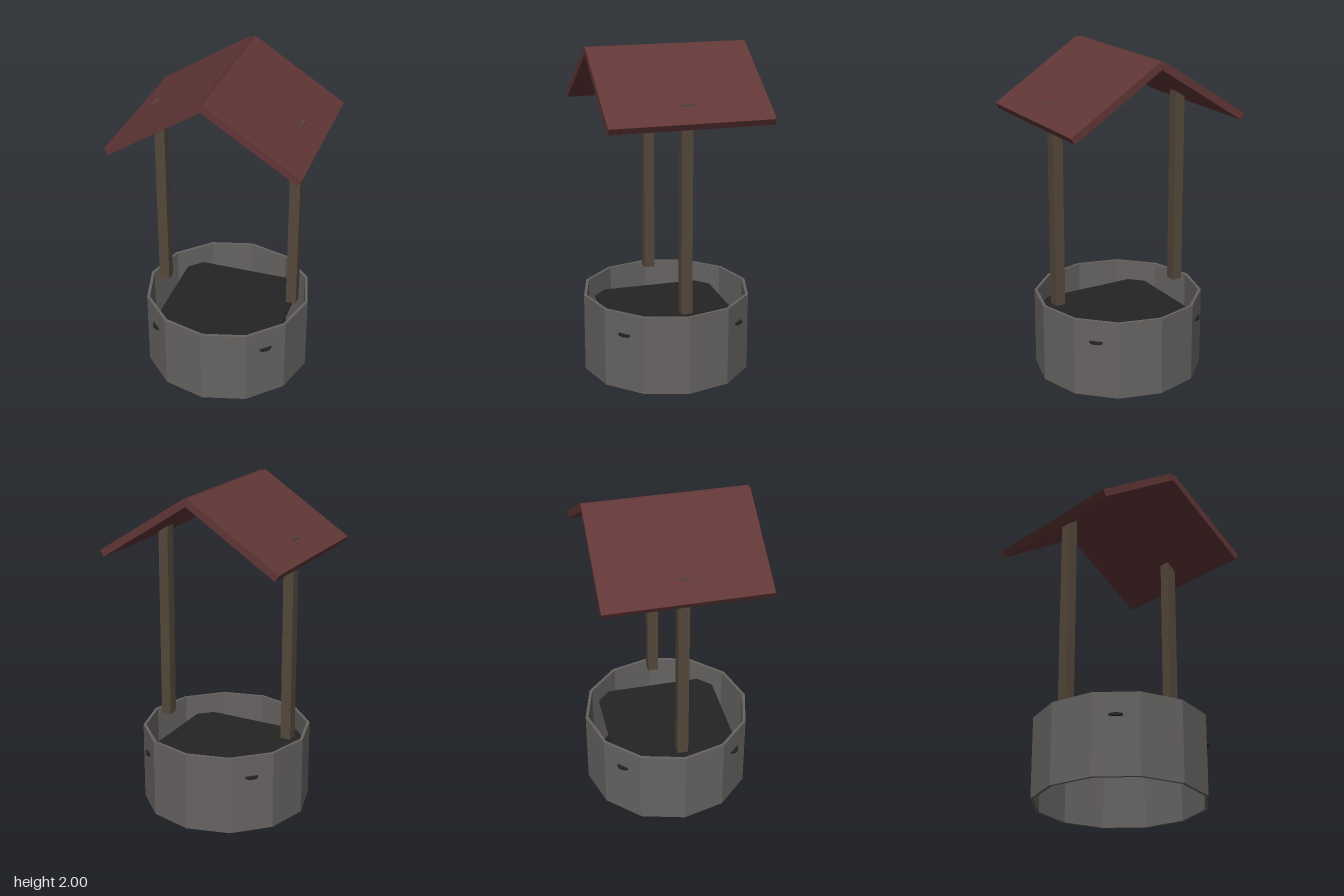
import * as THREE from 'three';

const material = (name, color) => {
  const m = new THREE.MeshStandardMaterial({ color });
  m.name = name;
  return m;
};

export function createModel() {
  const stone = material('stone', 0x666361);
  const wood = material('wood', 0x54473a);
  const tile = material('roof red', 0x613636);
  const dark = material('dark water', 0x242424);

  const well = new THREE.Group();
  well.name = 'well';
  const add = (name, geometry, mat, x = 0, y = 0, z = 0) => {
    const mesh = new THREE.Mesh(geometry, mat);
    mesh.name = name;
    mesh.position.set(x, y, z);
    well.add(mesh);
    return mesh;
  };

  // Twelve-sided stone ring, open at the top and bottom, with faceted sides
  const outer = 0.518, inner = 0.5, height = 0.487;
  const profile = [[outer, 0], [outer, height], [inner, height], [inner, 0], [outer, 0]]
    .map(([r, y]) => new THREE.Vector2(r, y));
  const ring = new THREE.LatheGeometry(profile, 12).toNonIndexed();
  ring.computeVertexNormals();
  add('stoneWall', ring, stone);

  // Water slab: a rounded square whose corners just break through the wall
  const h = 0.382, r = 0.05, c = h - r;
  const square = new THREE.Shape();
  [[c, c], [-c, c], [-c, -c], [c, -c]].forEach(([x, y], i) =>
    square.absarc(x, y, r, i * Math.PI / 2, (i + 1) * Math.PI / 2));
  square.closePath();
  const slab = new THREE.ExtrudeGeometry(square, { depth: 0.016, bevelEnabled: false, curveSegments: 4 });
  slab.rotateX(-Math.PI / 2);
  add('water', slab, dark, 0, 0.343, 0);

  // Mirrored posts and roof panels; the panels cross at the ridge
  const postBottom = 0.483, postTop = 1.728;
  for (const [side, s] of [['left', 1], ['right', -1]]) {
    add(side + 'Post', new THREE.BoxGeometry(0.064, postTop - postBottom, 0.066), wood,
      s * 0.418, (postBottom + postTop) / 2, 0);
    const panel = add(side + 'RoofPanel', new THREE.BoxGeometry(0.662, 0.044, 0.966), tile,
      s * 0.279, 1.803, 0);
    panel.rotation.z = -s * 0.569;
  }
  return well;
}
